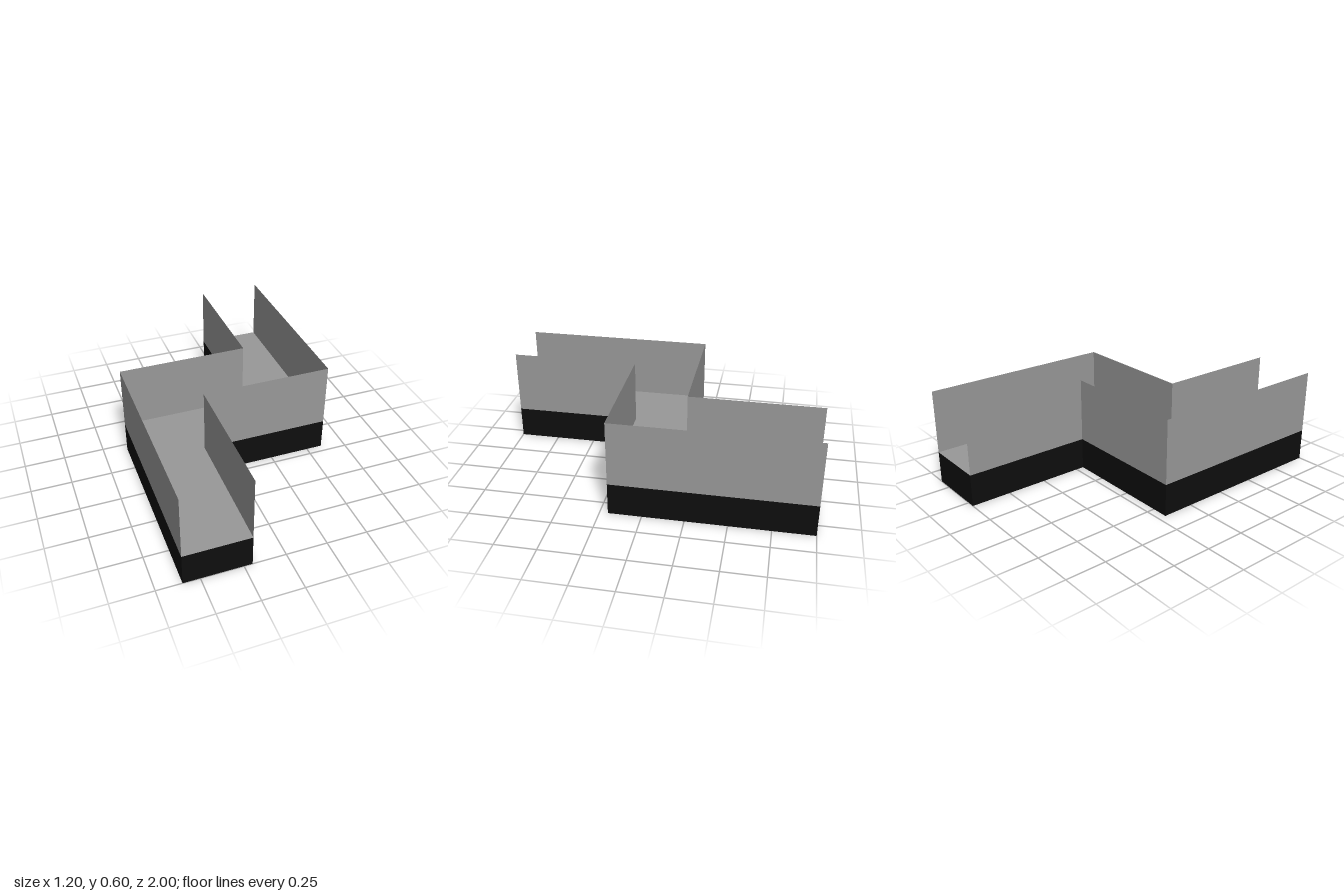
import * as THREE from 'three';

const BASE_HEIGHT = 0.2;
const WALL_HEIGHT = 0.4;

// Side paths of the Z-shaped channel as [x, z]; the right side is the left one turned half round
const sideA = [[-0.6, 1], [-0.6, -0.2], [0.2, -0.2], [0.2, -1]];
const sideB = sideA.map(([x, z]) => [-x, -z]);

export function createModel() {
  const model = new THREE.Group();
  model.name = 'zChannel';

  const black = new THREE.MeshStandardMaterial({ color: 0x0e0e0e });
  black.name = 'black';
  const grey = new THREE.MeshStandardMaterial({ color: 0x999999, side: THREE.DoubleSide });
  grey.name = 'grey';

  const add = (name, geometry, material) => {
    const mesh = new THREE.Mesh(geometry, material);
    mesh.name = name;
    model.add(mesh);
    return mesh;
  };

  // Solid base slab
  const outline = new THREE.Shape([...sideA, ...sideB].map(([x, z]) => new THREE.Vector2(x, -z)));
  const slab = new THREE.ExtrudeGeometry(outline, { depth: BASE_HEIGHT, bevelEnabled: false });
  add('base', slab.rotateX(-Math.PI / 2), black);

  // Floor sheet on top of the base
  const floor = new THREE.ShapeGeometry(outline).rotateX(-Math.PI / 2);
  add('floor', floor, grey).position.y = BASE_HEIGHT + 0.001;

  // Thin walls along both sides, leaving the two ends open
  const addWalls = (name, path) => {
    for (let i = 0; i < path.length - 1; i++) {
      const [x0, z0] = path[i];
      const [x1, z1] = path[i + 1];
      const length = Math.hypot(x1 - x0, z1 - z0);
      const wall = add(`${name}${i + 1}`, new THREE.PlaneGeometry(length, WALL_HEIGHT), grey);
      wall.position.set((x0 + x1) / 2, BASE_HEIGHT + WALL_HEIGHT / 2, (z0 + z1) / 2);
      wall.rotation.y = -Math.atan2(z1 - z0, x1 - x0);
    }
  };
  addWalls('rightWall', sideA);
  addWalls('leftWall', sideB);

  return model;
}
